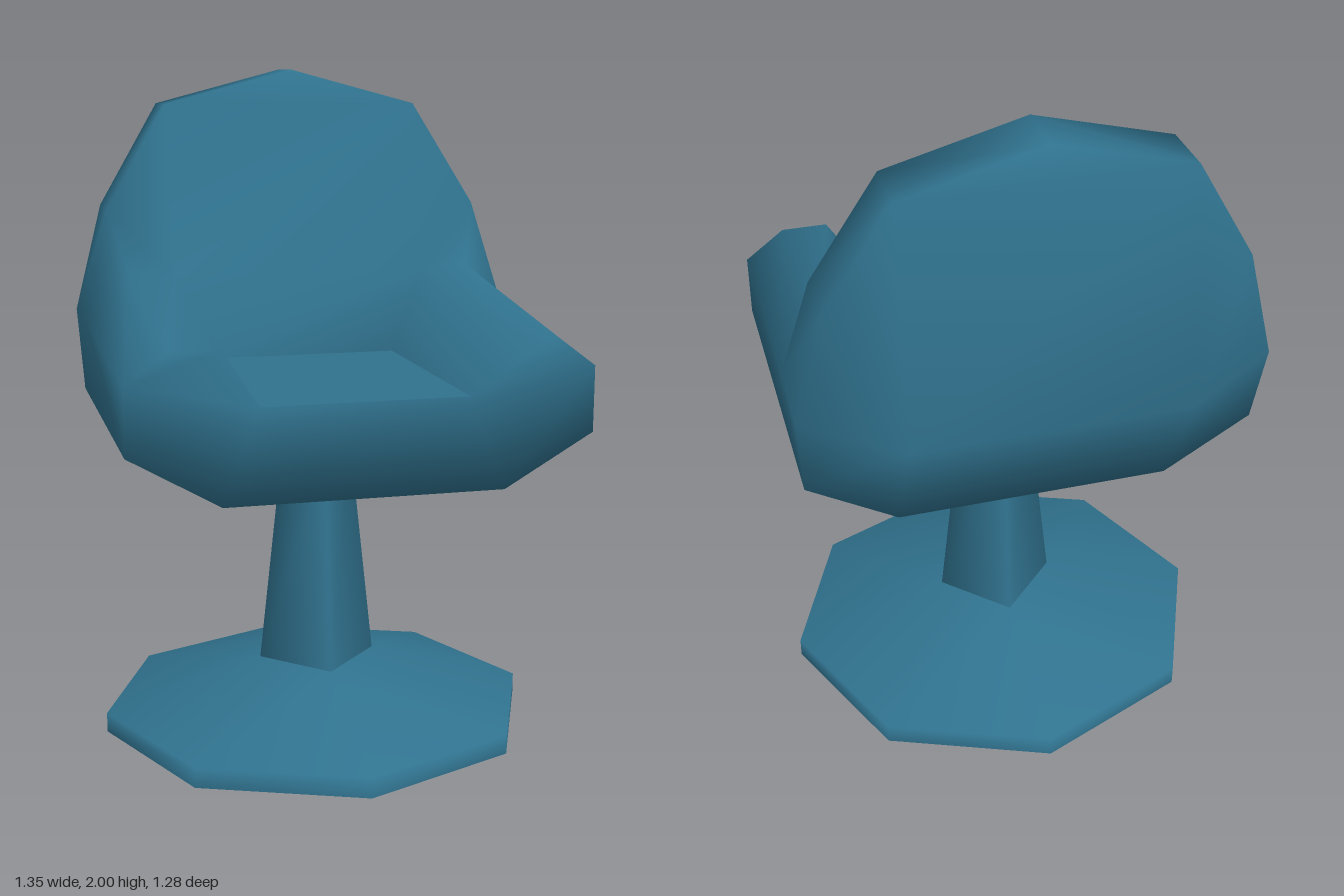
import * as THREE from 'three';

// Smooth mesh from points and polygon faces (fans, counter-clockwise from outside)
function polyMesh(name, points, faces, material) {
  const index = [];
  for (const f of faces) for (let i = 1; i < f.length - 1; i++) index.push(f[0], f[i], f[i + 1]);
  const g = new THREE.BufferGeometry();
  g.setAttribute('position', new THREE.Float32BufferAttribute(points.flat(), 3));
  g.setIndex(index);
  g.computeVertexNormals();
  const mesh = new THREE.Mesh(g, material);
  mesh.name = name;
  return mesh;
}

// Mirrors half-model faces; faces that name a '-' point span the middle already
function symmetricMesh(name, half, faceList, material) {
  const points = [], ids = {};
  for (const [key, [x, y, z]] of Object.entries(half)) {
    ids[key] = ids['-' + key] = points.push([x, y, z]) - 1;
    if (x) ids['-' + key] = points.push([-x, y, z]) - 1;
  }
  const faces = [];
  for (const line of faceList) {
    const keys = line.split(' ');
    faces.push(keys.map(k => ids[k]));
    if (!line.includes('-')) faces.push(keys.map(k => ids['-' + k]).reverse());
  }
  return polyMesh(name, points, faces, material);
}

export function createModel() {
  const model = new THREE.Group();
  model.name = 'swivelChair';
  const teal = new THREE.MeshStandardMaterial({ color: 0x30728e, side: THREE.DoubleSide });
  teal.name = 'teal upholstery';

  // Left half of the shell: f = front end, m = arm meets backrest, r = front rim, b = back
  const shell = {
    fi: [0.295, 1.12, 0.565], ft: [0.4, 1.28, 0.565], fu: [0.54, 1.28, 0.565],
    fo: [0.66, 1.19, 0.565], fl: [0.66, 1.0, 0.565], fb: [0.4, 0.85, 0.565],
    mi: [0.295, 1.12, -0.185], mt: [0.4, 1.38, -0.19], mu: [0.54, 1.39, -0.19], mo: [0.67, 1.24, -0.19],
    rs: [0.59, 1.58, -0.29], rt: [0.4, 1.895, -0.33], ra: [0, 2, -0.33],
    ba: [0, 2, -0.51], bt: [0.4, 1.895, -0.51], bs: [0.59, 1.58, -0.47], bo: [0.675, 1.25, -0.465],
    bl: [0.66, 1.0, -0.415], bb: [0.4, 0.85, -0.42], bc: [0.4, 1.21, -0.61],
  };
  model.add(symmetricMesh('shell', shell, [
    // front end
    'fb fl fo fi', 'fi fo fu ft', '-fb fb fi -fi',
    // arms, sides and underside
    'fi ft mt mi', 'ft fu mu mt', 'fu fo mo mu', 'fo fl bl mo', 'mo bl bo', 'fl fb bb bl', 'fb -fb -bb bb',
    // rim of the backrest
    'mu mo rs', 'mo bo bs rs', 'rs bs bt rt', 'rt bt ba ra',
    // front of the backrest
    'mt mu rs', 'mt rs rt', '-mi mi mt -mt', '-mt mt rt -rt', '-rt rt ra',
    // back of the backrest
    'bt bs bc', 'bs bo bc', 'bo bl bc', 'bl bb bc', 'bb -bb -bc bc', 'bc -bc -bt bt', 'bt -bt ba',
  ], teal));

  // Flat seat panel
  model.add(symmetricMesh('seat', { fi: shell.fi, mi: shell.mi }, ['-fi fi mi -mi'], teal));

  // Four-sided tapering column
  const column = new THREE.Mesh(new THREE.CylinderGeometry(0.11, 0.182, 0.655, 4, 1, true), teal);
  column.name = 'column';
  column.position.y = 0.5225;
  model.add(column);

  // Hollow eight-sided foot: two outer rings of 8, a top ring of 4 under the column
  const points = [], faces = [];
  const ring = (n, rx, rz, y) => {
    for (let i = 0; i < n; i++) {
      const a = (i / n) * Math.PI * 2;
      points.push([rx * Math.sin(a), y, rz * Math.cos(a)]);
    }
  };
  ring(8, 0.665, 0.64, 0);
  ring(8, 0.665, 0.64, 0.06);
  ring(4, 0.182, 0.182, 0.2);
  for (let i = 0; i < 8; i++) {
    const j = (i + 1) % 8;
    faces.push([i, j, 8 + j, 8 + i]);
  }
  for (let q = 0; q < 4; q++) {
    const a = 16 + q, b = 16 + (q + 1) % 4;
    const o0 = 8 + 2 * q, o1 = o0 + 1, o2 = 8 + (2 * q + 2) % 8;
    faces.push([a, o0, o1], [a, o1, b], [b, o1, o2]);
  }
  model.add(polyMesh('foot', points, faces, teal));

  return model;
}
